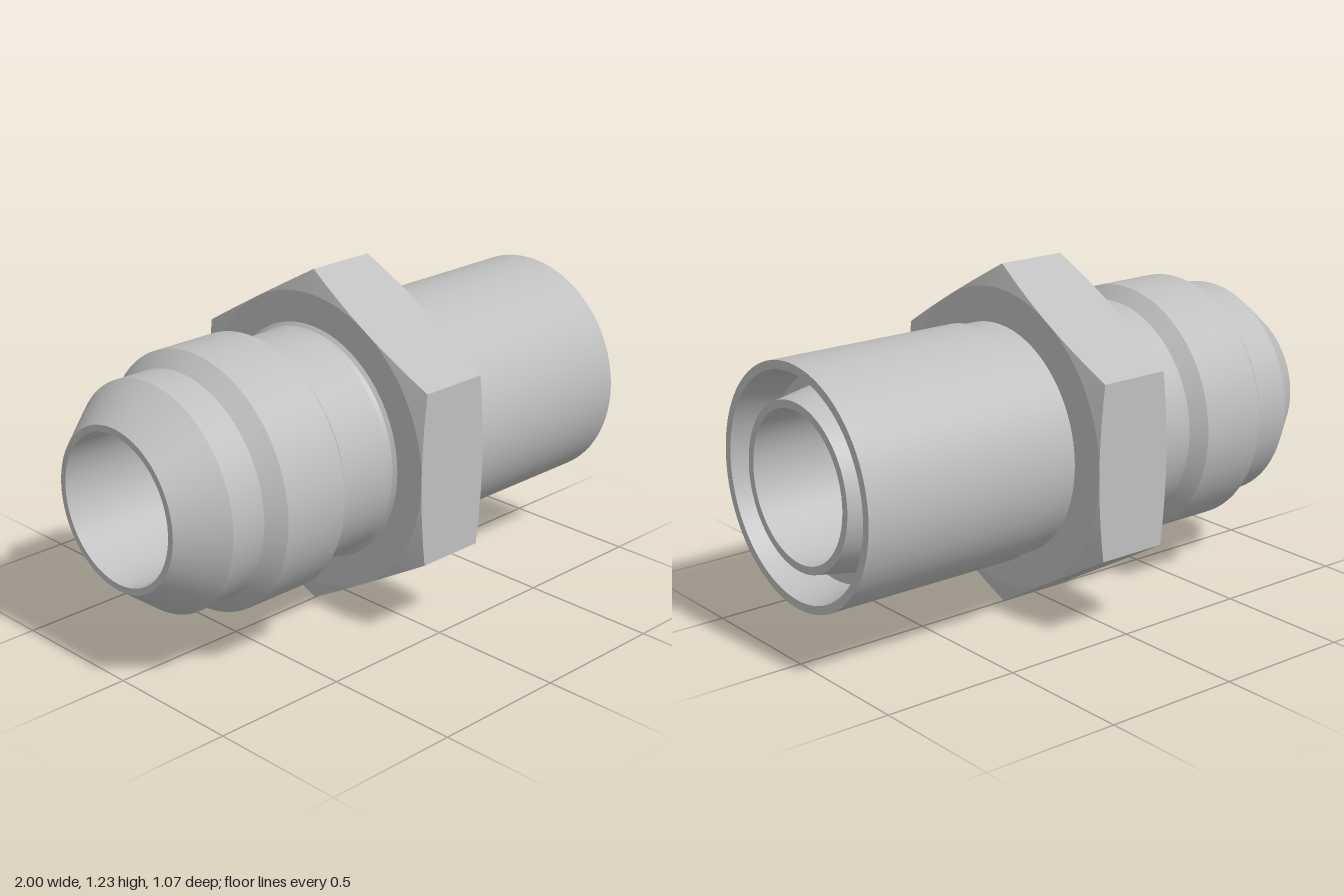
import * as THREE from 'three';
import { toCreasedNormals } from 'three/addons/utils/BufferGeometryUtils.js';

const AXIS_Y = 0.617;
const CREASE = 0.15;

// Revolve [x, radius] points about the x axis
function turned(points, name, material) {
  const profile = points.map(([x, r]) => new THREE.Vector2(r, x));
  const geometry = new THREE.LatheGeometry(profile, 96).rotateZ(-Math.PI / 2);
  const mesh = new THREE.Mesh(toCreasedNormals(geometry, CREASE), material);
  mesh.name = name;
  return mesh;
}

// Hexagonal collar whose corners are cut by a shallow cone on both faces
function hexCollar(x0, x1, apothem, innerRadius, material) {
  const side = Math.PI / 3, perSide = 12, columns = perSide * 6, slope = 0.26;
  const positions = [], indices = [];
  for (let i = 0; i <= columns; i++) {
    const a = (i / perSide) * side;
    const local = ((i % perSide) / perSide - 0.5) * side;
    const r = apothem / Math.cos(local);
    const cut = slope * (r - apothem);
    const section = [
      [x0, innerRadius], [x0, apothem], [x0 + cut, r],
      [x1 - cut, r], [x1, apothem], [x1, innerRadius],
    ];
    for (const [x, q] of section) positions.push(x, q * Math.cos(a), q * Math.sin(a));
  }
  for (let i = 0; i < columns; i++) {
    for (let j = 0; j < 5; j++) {
      const p = i * 6 + j, q = p + 6;
      indices.push(p, q, p + 1, q, q + 1, p + 1);
    }
  }
  const geometry = new THREE.BufferGeometry();
  geometry.setAttribute('position', new THREE.Float32BufferAttribute(positions, 3));
  geometry.setIndex(indices);
  geometry.computeVertexNormals();
  const mesh = new THREE.Mesh(toCreasedNormals(geometry, CREASE), material);
  mesh.name = 'hexCollar';
  return mesh;
}

export function createModel() {
  const steel = new THREE.MeshStandardMaterial({ color: 0xbfbfbf });
  steel.name = 'steel grey';

  const fitting = new THREE.Group();
  fitting.name = 'pipeFitting';
  fitting.position.y = AXIS_Y;

  // Flared end: conical nose, raised thread band, neck and root fillet
  fitting.add(turned([
    [-1, 0.262], [-1, 0.285], [-0.85, 0.4], [-0.72, 0.4], [-0.665, 0.453],
    [-0.415, 0.453], [-0.37, 0.405], [-0.165, 0.405], [-0.15, 0.41], [-0.138, 0.425],
  ], 'flaredEnd', steel));

  fitting.add(hexCollar(-0.14, 0.16, 0.534, 0.39, steel));

  // Tube end: neck, sleeve, tapered socket and the inner nozzle
  fitting.add(turned([
    [0.155, 0.41], [0.265, 0.41], [0.265, 0.42], [1, 0.42], [1, 0.39],
    [0.85, 0.355], [0.85, 0.315], [0.99, 0.29], [0.99, 0.262],
  ], 'tubeEnd', steel));

  // Through bore
  fitting.add(turned([[0.99, 0.262], [-1, 0.262]], 'bore', steel));

  const model = new THREE.Group();
  model.name = 'model';
  model.add(fitting);
  return model;
}
